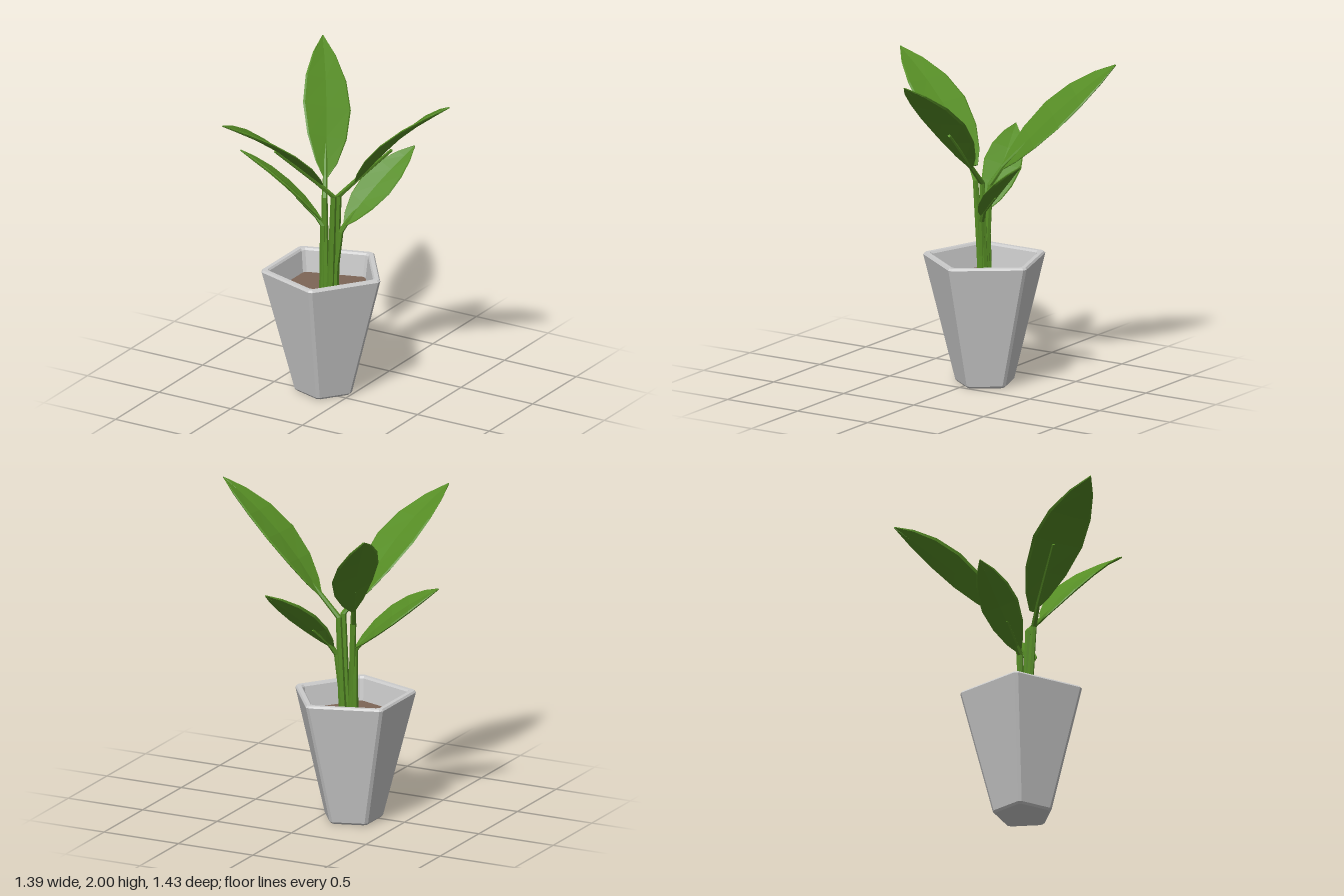
import * as THREE from 'three';

const V = (a) => new THREE.Vector3(...a);

// Skin a list of equal-length rings (counter-clockwise about the path), capped and faceted
function loft(rings) {
  const pos = [];
  const tri = (...pts) => pts.forEach((p) => pos.push(p.x, p.y, p.z));
  const n = rings[0].length;
  const first = rings[0], last = rings[rings.length - 1];
  for (let j = 0; j < rings.length - 1; j++) {
    for (let i = 0; i < n; i++) {
      const k = (i + 1) % n;
      const a = rings[j][i], b = rings[j][k], c = rings[j + 1][k], d = rings[j + 1][i];
      tri(a, b, c);
      tri(a, c, d);
    }
  }
  for (let i = 1; i < n - 1; i++) {
    tri(first[0], first[i + 1], first[i]);
    tri(last[0], last[i], last[i + 1]);
  }
  const geo = new THREE.BufferGeometry();
  geo.setAttribute('position', new THREE.Float32BufferAttribute(pos, 3));
  geo.computeVertexNormals();
  return geo;
}

// Five-sided ring with chamfered corners, one corner pointing to +x
function pentagon(r, y, chamfer = 0.012) {
  const ring = [];
  for (let i = 0; i < 5; i++) {
    for (const s of [-1, 1]) {
      const a = (i * Math.PI * 2) / 5 + (s * chamfer) / r;
      ring.push(new THREE.Vector3(r * Math.cos(a) - 0.183, y, -r * Math.sin(a) - 0.06));
    }
  }
  return ring;
}

// Leaf blade: outline as [distance along, half width], cross-section slightly cupped
const OUTLINE = [[0, 0.1], [0.1, 0.46], [0.27, 0.82], [0.48, 1], [0.68, 0.85], [0.86, 0.48], [1, 0.015]];
const SECTION = [[1, 0.013], [0.93, 0.019], [0, 0.008], [-0.93, 0.019],
  [-1, 0.013], [-0.9, 0.002], [0, -0.012], [0.9, 0.002]];

function leafGeometry(base, tip, halfWidth, bow) {
  const a = V(base), axis = V(tip).sub(a), side = V(halfWidth);
  const dir = axis.clone().normalize();
  side.addScaledVector(dir, -side.dot(dir));
  const normal = dir.clone().cross(side).normalize();
  if (normal.y < 0) {
    normal.negate();
    side.negate();
  }
  return loft(OUTLINE.map(([t, w]) => SECTION.map(([u, v]) => a.clone()
    .addScaledVector(axis, t)
    .addScaledVector(side, u * w)
    .addScaledVector(normal, v * Math.min(1, 0.25 + w) + bow * Math.sin(Math.PI * t)))));
}

// Stem: six-sided and tapering, bending at each path point
function stemGeometry(points, r0, r1) {
  const path = points.map(V);
  const last = path.length - 1;
  return loft(path.map((p, j) => {
    const dir = path[Math.min(j + 1, last)].clone().sub(path[Math.max(j - 1, 0)]).normalize();
    const n = new THREE.Vector3(0, 0, 1).cross(dir).normalize();
    const s = n.clone().cross(dir).normalize();
    const r = r0 + ((r1 - r0) * j) / last;
    return Array.from({ length: 6 }, (_, i) => {
      const t = (i * Math.PI) / 3;
      return p.clone().addScaledVector(s, r * Math.cos(t)).addScaledVector(n, r * Math.sin(t));
    });
  }));
}

const LEAVES = [
  { name: 'leftLeaf', base: [0.02, 1.37, -0.09], tip: [0.69, 2, -0.055], half: [0, 0, -0.163], bow: 0.05,
    stem: [[-0.135, 0.6, -0.09], [-0.125, 0.8, -0.09], [-0.105, 1.25, -0.09], [0.02, 1.38, -0.09], [0.26, 1.62, -0.095]] },
  { name: 'backRightLeaf', base: [-0.235, 1.32, -0.15], tip: [-0.6, 1.96, -0.72], half: [0.11, -0.065, -0.095], bow: 0.03,
    stem: [[-0.18, 0.6, -0.07], [-0.185, 0.8, -0.07], [-0.2, 1.22, -0.085], [-0.235, 1.33, -0.15], [-0.32, 1.5, -0.29]] },
  { name: 'frontLeaf', base: [-0.17, 1.33, 0.0], tip: [-0.43, 1.91, 0.71], half: [0.155, -0.015, 0.05], bow: 0.05,
    stem: [[-0.145, 0.6, -0.06], [-0.135, 0.8, -0.055], [-0.11, 1.26, -0.04], [-0.17, 1.37, 0.05], [-0.31, 1.63, 0.3]] },
  { name: 'rightLeaf', base: [-0.21, 1.07, -0.07], tip: [-0.7, 1.47, 0.06], half: [0.03, 0.045, 0.105], bow: 0.025,
    stem: [[-0.2, 0.6, -0.07], [-0.2, 0.8, -0.07], [-0.2, 1.05, -0.065], [-0.24, 1.1, -0.06], [-0.36, 1.21, -0.03]] },
  { name: 'backLeftLeaf', base: [-0.075, 1.06, -0.11], tip: [0.155, 1.47, -0.54], half: [0.105, -0.035, 0.03], bow: 0.025,
    stem: [[-0.13, 0.6, -0.08], [-0.12, 0.8, -0.08], [-0.095, 1.02, -0.095], [-0.06, 1.09, -0.13], [-0.01, 1.2, -0.24]] },
];

export function createModel() {
  const mat = (name, color) => {
    const m = new THREE.MeshStandardMaterial({ color });
    m.name = name;
    return m;
  };
  const grey = mat('potGrey', 0xcccccc);
  const brown = mat('soilBrown', 0x7d6556);
  const green = mat('leafGreen', 0x568d25);

  const model = new THREE.Group();
  model.name = 'pottedPlant';
  const add = (parent, name, geo, material) => {
    const mesh = new THREE.Mesh(geo, material);
    mesh.name = name;
    parent.add(mesh);
  };

  // Pot: outer wall, bevelled rim and hollow inside
  const profile = [[0.168, 0], [0.182, 0.013], [0.38, 0.768], [0.37, 0.78],
    [0.34, 0.78], [0.33, 0.768], [0.305, 0.6]];
  add(model, 'pot', loft(profile.map(([r, y]) => pentagon(r, y))), grey);
  add(model, 'soil', loft([pentagon(0.3, 0.59), pentagon(0.311, 0.635)]), brown);

  // Five leaves, each on its own stem
  for (const l of LEAVES) {
    const group = new THREE.Group();
    group.name = l.name;
    add(group, 'blade', leafGeometry(l.base, l.tip, l.half, l.bow), green);
    add(group, 'stem', stemGeometry(l.stem, 0.026, 0.01), green);
    model.add(group);
  }
  return model;
}
